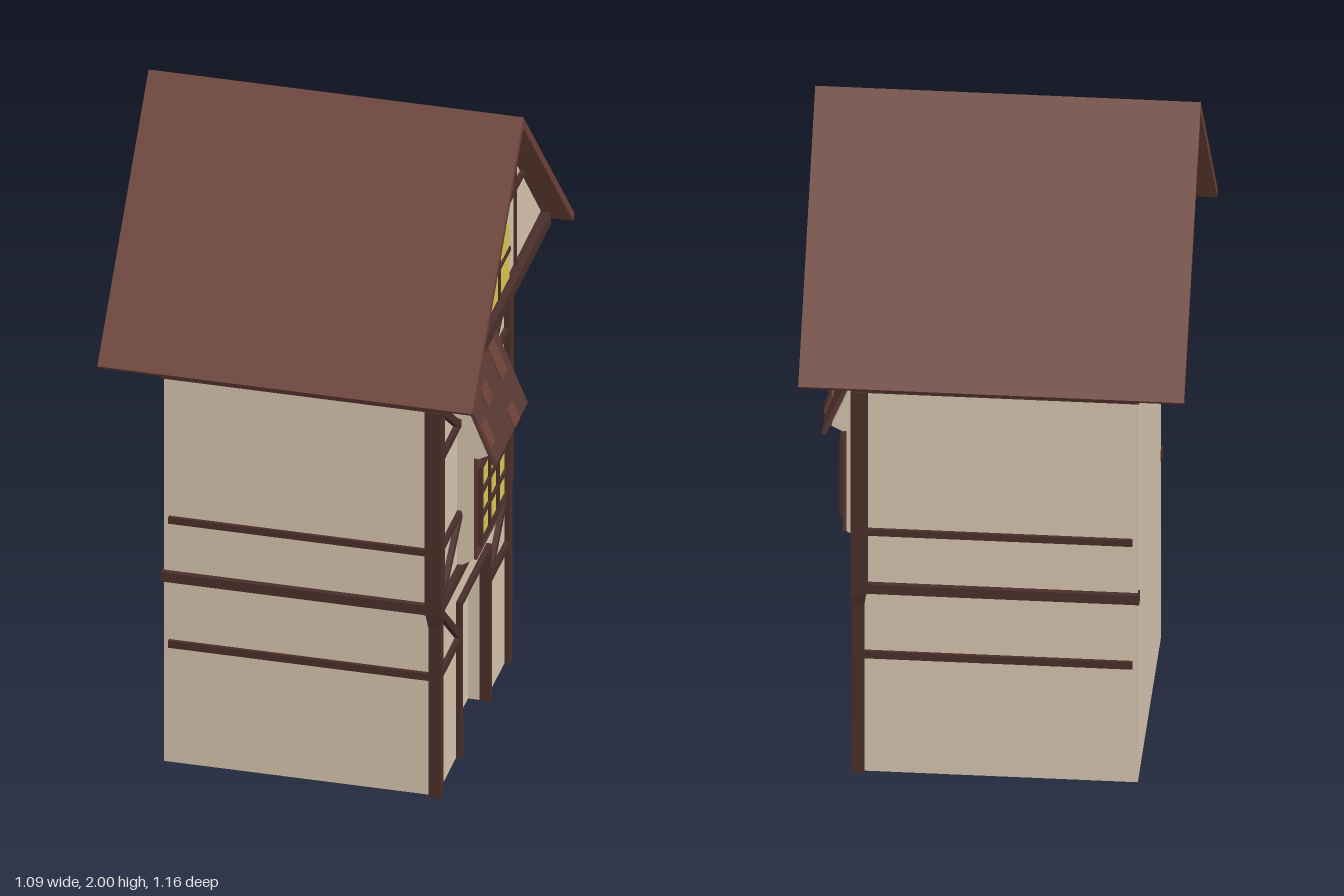
import * as THREE from 'three';

const mat = (color) => new THREE.MeshStandardMaterial({ color, side: THREE.DoubleSide, flatShading: true });

export function createModel() {
  const house = new THREE.Group();
  house.name = 'timberFramedHouse';
  const plaster = mat(0xd6c5ae), timber = mat(0x4a2f2a), tile = mat(0x6c4138);
  const frameWood = mat(0x5a3a34), glass = mat(0xdcc552);

  const add = (name, geo, material) => {
    const m = new THREE.Mesh(geo, material);
    m.name = name;
    house.add(m);
    return m;
  };
  // Box given by its extents
  const box = (name, material, x0, x1, y0, y1, z0, z1) => {
    const m = add(name, new THREE.BoxGeometry(x1 - x0, y1 - y0, z1 - z0), material);
    m.position.set((x0 + x1) / 2, (y0 + y1) / 2, (z0 + z1) / 2);
    return m;
  };
  // Diagonal timber on the facade between two (z, y) points
  const brace = (name, z0, y0, z1, y1) => {
    const m = add(name, new THREE.BoxGeometry(0.03, 0.022, Math.hypot(z1 - z0, y1 - y0)), timber);
    m.position.set(0.39, (y0 + y1) / 2, (z0 + z1) / 2);
    m.rotation.x = -Math.atan2(y1 - y0, z1 - z0);
  };
  const shapeOf = (pts) => new THREE.Shape(pts.map((p) => new THREE.Vector2(...p)));
  // Profile drawn in (z, y), extruded along x from x0 to x1
  const extrudeX = (pts, x0, x1) => new THREE.ExtrudeGeometry(
    shapeOf(pts.map(([z, y]) => [-z, y])), { depth: x1 - x0, bevelEnabled: false })
    .rotateY(Math.PI / 2).translate(x0, 0, 0);
  // Profile drawn in (x, y), extruded along z, centred
  const extrudeZ = (pts, width) => new THREE.ExtrudeGeometry(
    shapeOf(pts), { depth: width, bevelEnabled: false }).translate(0, 0, -width / 2);

  const X = 0.39, XB = -0.4, Z = 0.393, TOP = 1.37;

  // Walls: open underneath, with a notch for the door in the facade
  const facade = shapeOf([[-Z, 0], [-0.16, 0], [-0.16, 0.49], [0.16, 0.49], [0.16, 0], [Z, 0], [Z, TOP], [-Z, TOP]]);
  add('facadeWall', new THREE.ShapeGeometry(facade).rotateY(Math.PI / 2).translate(X, 0, 0), plaster);
  add('backWall', new THREE.PlaneGeometry(2 * Z, TOP).rotateY(-Math.PI / 2).translate(XB, TOP / 2, 0), plaster);
  for (const s of [1, -1]) {
    const side = new THREE.PlaneGeometry(X - XB, TOP);
    if (s < 0) side.rotateY(Math.PI);
    add('sideWall', side.translate((X + XB) / 2, TOP / 2, s * Z), plaster);
  }

  // Recessed door and its surround
  box('door', plaster, 0.335, 0.34, 0, 0.49, -0.16, 0.16);
  box('doorHead', plaster, 0.34, X, 0.488, 0.492, -0.16, 0.16);
  box('doorLintel', timber, 0.375, 0.405, 0.485, 0.503, -0.173, 0.173);
  for (const s of [1, -1]) {
    box('doorJamb', plaster, 0.34, X, 0, 0.49, s * 0.16 - 0.002, s * 0.16 + 0.002);
    box('doorPost', timber, 0.375, 0.405, 0, 0.5, s * 0.164 - 0.01, s * 0.164 + 0.01);
  }

  // Bands across the facade
  box('floorBand', timber, 0.37, 0.408, 0.59, 0.62, -0.41, 0.41);
  box('topBand', timber, 0.37, 0.408, 1.248, 1.268, -0.41, 0.41);

  for (const s of [1, -1]) {
    const zs = (name, x0, x1, y0, y1, a, b) =>
      box(name, timber, x0, x1, y0, y1, Math.min(s * a, s * b), Math.max(s * a, s * b));
    // Corner posts: slim below, stout above, with a flared joint
    zs('lowerCornerPost', 0.37, 0.405, 0, 0.56, 0.375, 0.406);
    zs('upperCornerPost', 0.36, 0.408, 0.59, 1.25, 0.37, 0.414);
    const flare = new THREE.CylinderGeometry(0.032, 0.024, 0.04, 4).rotateY(Math.PI / 4);
    add('postFlare', flare, timber).position.set(0.386, 0.572, s * 0.391);
    // Side bands
    zs('sideBand', -0.385, 0.37, 0.374, 0.397, 0.382, 0.403);
    zs('sideBand', -0.405, 0.4, 0.59, 0.62, 0.375, 0.41);
    zs('sideBand', -0.385, 0.37, 0.776, 0.797, 0.382, 0.403);
    zs('sideTopBand', -0.405, 0.4, 1.248, 1.268, 0.375, 0.41);
    // Facade rails and braces
    zs('facadeRail', 0.375, 0.403, 0.374, 0.397, 0.16, 0.38);
    zs('facadeRail', 0.375, 0.403, 0.777, 0.795, 0.15, 0.38);
    zs('facadeRail', 0.375, 0.403, 1.068, 1.092, 0.15, 0.38);
    brace('lowerBrace', s * 0.38, 0.585, s * 0.165, 0.39);
    brace('middleBrace', s * 0.38, 0.615, s * 0.16, 0.785);
    brace('upperBrace', s * 0.38, 1.245, s * 0.18, 1.085);
    // Eave beam carried by the side brackets
    zs('sideBeam', -0.405, 0.49, 1.362, 1.4, 0.47, 0.505);
  }
  box('gableBeam', timber, 0.445, 0.492, 1.365, 1.402, -0.505, 0.505);

  // Curved brackets under the overhang
  const bracketShape = new THREE.Shape();
  bracketShape.moveTo(0, 1.262);
  bracketShape.lineTo(0.02, 1.262);
  bracketShape.quadraticCurveTo(0.032, 1.325, 0.1, 1.372);
  bracketShape.lineTo(0, 1.372);
  const bracketGeo = new THREE.ExtrudeGeometry(bracketShape, { depth: 0.032, bevelEnabled: false, curveSegments: 5 })
    .translate(0, 0, -0.016);
  for (let i = 0; i < 7; i++) {
    add('facadeBracket', bracketGeo, timber).position.set(0.385, 0, -0.378 + i * 0.126);
    for (const s of [1, -1]) {
      const b = add('sideBracket', bracketGeo, timber);
      b.position.set(-0.368 + i * 0.104, 0, s * 0.388);
      b.rotation.y = -s * Math.PI / 2;
    }
  }

  // Attic block and roof
  add('attic', extrudeX([[-0.5, 1.37], [0.5, 1.37], [0.5, 1.41], [0, 1.962], [-0.5, 1.41]], XB, 0.462), plaster);
  for (const s of [1, -1]) {
    add('roofSlope', extrudeX([[0, 2], [s * 0.582, 1.363], [s * 0.566, 1.348], [0, 1.965]], -0.545, 0.541), tile);
  }

  // Gable timbers
  box('gableRail', timber, 0.455, 0.472, 1.644, 1.666, -0.285, 0.285);
  for (const s of [1, -1]) box('gableStud', timber, 0.455, 0.47, 1.4, 1.742, s * 0.2 - 0.006, s * 0.2 + 0.006);

  // Gable window
  box('gableWindowFrame', plaster, 0.455, 0.467, 1.4, 1.588, -0.127, 0.127);
  box('gableGlass', glass, 0.46, 0.469, 1.402, 1.583, -0.122, 0.122);
  box('gableMullion', timber, 0.46, 0.474, 1.4, 1.585, -0.006, 0.006);
  box('gableTransom', timber, 0.46, 0.474, 1.493, 1.505, -0.122, 0.122);

  // Bay window with sloping base, and plaster cheeks under its little roof
  add('bay', extrudeZ([[0.385, 0.618], [0.405, 0.62], [0.445, 0.645], [0.445, 0.965], [0.482, 0.985], [0.39, 1.21], [0.385, 1.21]], 0.32), plaster);
  box('bayPanel', frameWood, 0.44, 0.449, 0.645, 0.97, -0.165, 0.165);
  box('bayGlass', glass, 0.445, 0.452, 0.69, 0.93, -0.14, 0.14);
  for (const s of [1, -1]) {
    box('bayStile', timber, 0.44, 0.46, 0.685, 0.937, s * 0.145 - 0.009, s * 0.145 + 0.009);
    box('bayMullion', timber, 0.445, 0.459, 0.69, 0.93, s * 0.046 - 0.007, s * 0.046 + 0.007);
  }
  for (const y of [0.69, 0.77, 0.848, 0.932]) box('bayBar', timber, 0.445, 0.459, y - 0.006, y + 0.006, -0.15, 0.15);

  // Bay roof and a few raised tiles
  const awning = new THREE.Group();
  awning.name = 'bayRoof';
  awning.position.set(0.445, 1.108, 0);
  awning.rotation.z = Math.atan2(0.115, 0.28);
  house.add(awning);
  const slab = (name, y, z, h, w, t, x) => {
    const m = new THREE.Mesh(new THREE.BoxGeometry(t, h, w), name === 'bayRoofSlab' ? frameWood : tile);
    m.name = name;
    m.position.set(x, y, z);
    awning.add(m);
  };
  slab('bayRoofSlab', 0, 0, 0.302, 0.36, 0.012, 0);
  for (const [z, y, h, w] of [[0.058, 1.12, 0.06, 0.055], [-0.1, 1.145, 0.11, 0.058], [0.158, 1.05, 0.075, 0.05], [-0.05, 1.0, 0.06, 0.055]]) {
    slab('raisedTile', (y - 1.108) * 1.08, z, h, w, 0.008, 0.008);
  }
  return house;
}
